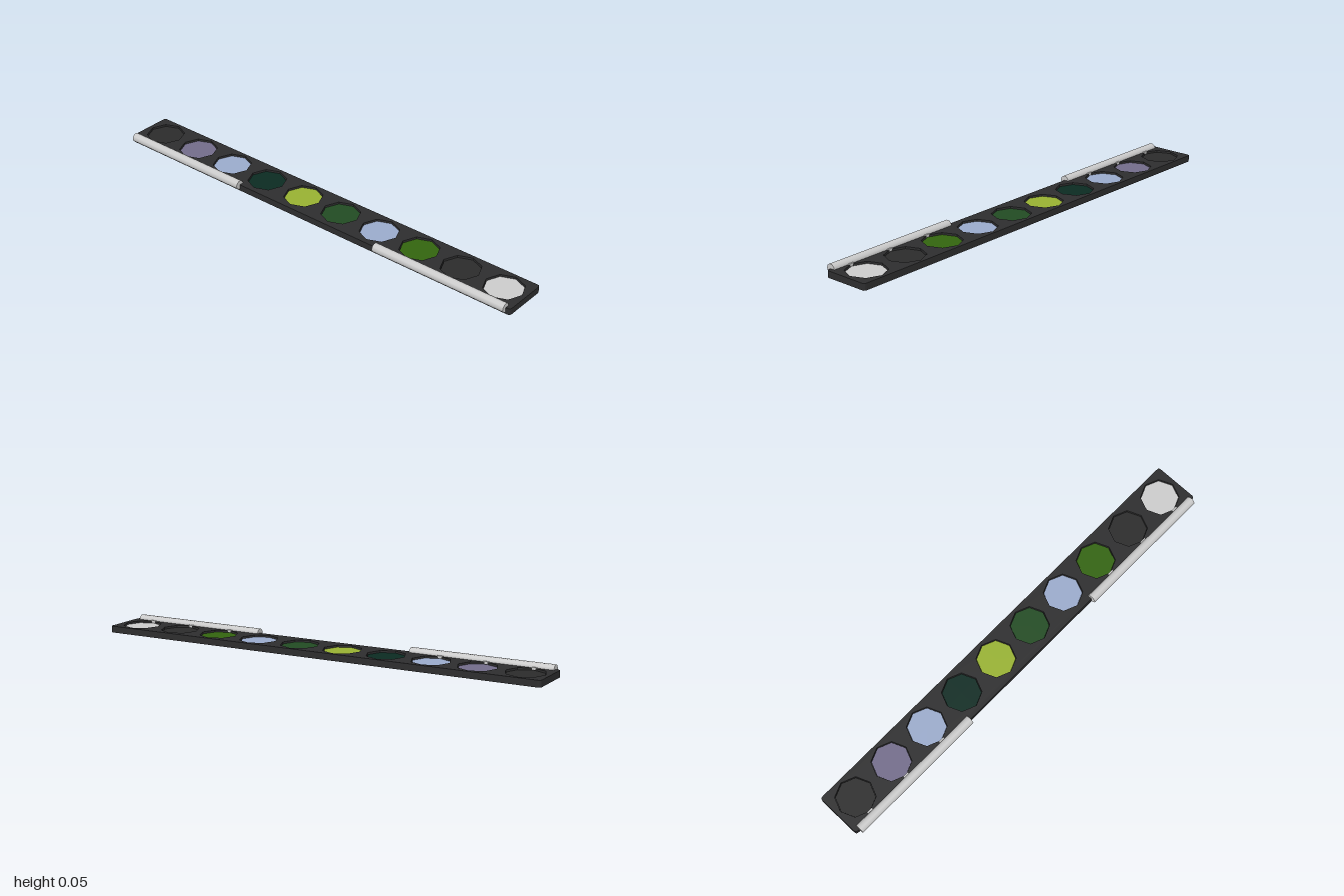
import * as THREE from 'three';

const mat = (name, color) => {
  const m = new THREE.MeshStandardMaterial({ color });
  m.name = name;
  return m;
};

export function createModel() {
  const model = new THREE.Group();
  model.name = 'paintPalette';
  const black = mat('black', 0x2d2d2e);
  const charcoal = mat('charcoal', 0x2b2b2b);
  const silver = mat('silver', 0xcbcbcb);
  const lilac = mat('lilac', 0x726c8a);
  const blue = mat('paleBlue', 0x9aaacb);
  const teal = mat('darkTeal', 0x0b2b22);
  const lime = mat('lime', 0x97b132);
  const green = mat('green', 0x224b23);
  const moss = mat('moss', 0x33640f);

  const add = (name, geometry, material, x = 0, y = 0, z = 0) => {
    const mesh = new THREE.Mesh(geometry, material);
    mesh.name = name;
    mesh.position.set(x, y, z);
    model.add(mesh);
    return mesh;
  };

  const wellXs = Array.from({ length: 10 }, (_, i) => -0.9 + 0.2 * i);
  const wellZ = -0.015, wellR = 0.082, floorY = 0.012, topY = 0.028;

  // Tray outline with small rounded corners; shape y becomes -z
  const outline = () => {
    const s = new THREE.Shape(), x = 1, b = -0.09, t = 0.11, r = 0.012;
    s.moveTo(-x + r, b);
    s.lineTo(x - r, b).quadraticCurveTo(x, b, x, b + r);
    s.lineTo(x, t - r).quadraticCurveTo(x, t, x - r, t);
    s.lineTo(-x + r, t).quadraticCurveTo(-x, t, -x, t - r);
    s.lineTo(-x, b + r).quadraticCurveTo(-x, b, -x + r, b);
    return s;
  };
  const slab = (shape, depth) => new THREE.ExtrudeGeometry(shape,
    { depth, bevelEnabled: false, curveSegments: 3 }).rotateX(-Math.PI / 2);

  // Solid base, and an upper layer pierced by the octagonal wells
  add('trayBase', slab(outline(), floorY), black);
  const rim = outline();
  for (const x of wellXs) {
    const pts = [];
    for (let k = 0; k < 8; k++) {
      const a = -k * Math.PI / 4;
      pts.push(new THREE.Vector2(x + wellR * Math.cos(a), -wellZ + wellR * Math.sin(a)));
    }
    rim.holes.push(new THREE.Path(pts));
  }
  add('trayRim', slab(rim, topY - floorY), black, 0, floorY);

  // Colour pans sunk in the wells
  const pans = [charcoal, lilac, blue, teal, lime, green, blue, moss, charcoal, silver];
  const panGeo = new THREE.CylinderGeometry(0.08, 0.08, 0.008, 8);
  wellXs.forEach((x, i) => add('colourPan', panGeo, pans[i], x, floorY + 0.004, wellZ));

  // Two tubes along the front edge, each with three small clips
  const tubeGeo = new THREE.CylinderGeometry(0.02, 0.02, 0.62, 10).rotateZ(Math.PI / 2);
  const clipGeo = new THREE.BoxGeometry(0.025, 0.01, 0.014);
  for (const side of [-1, 1]) {
    add('frontTube', tubeGeo, silver, side * 0.67, 0.027, 0.09);
    for (const x of [0.5, 0.7, 0.9]) add('tubeClip', clipGeo, silver, side * x, 0.026, 0.071);
  }
  return model;
}
